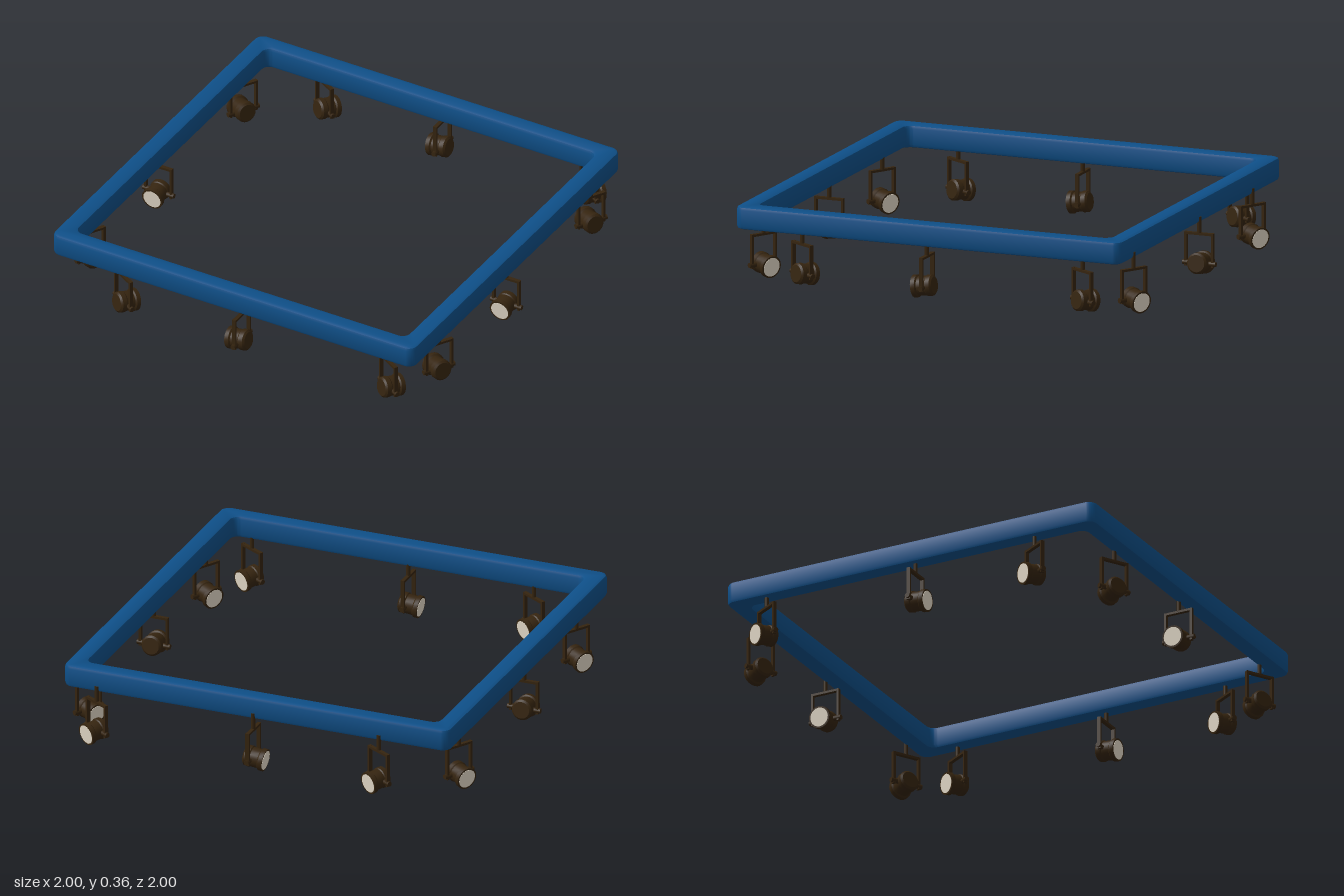
import * as THREE from 'three';
import { toCreasedNormals } from 'three/addons/utils/BufferGeometryUtils.js';

const mat = (name, color) => {
  const m = new THREE.MeshStandardMaterial({ color });
  m.name = name;
  return m;
};

// Traces a centred square with rounded corners onto a shape or path
function roundedSquare(path, half, r) {
  const h = half, k = half - r;
  path.moveTo(-k, -h);
  path.lineTo(k, -h);
  path.absarc(k, -k, r, -Math.PI / 2, 0);
  path.lineTo(h, k);
  path.absarc(k, k, r, 0, Math.PI / 2);
  path.lineTo(-k, h);
  path.absarc(-k, k, r, Math.PI / 2, Math.PI);
  path.lineTo(-h, -k);
  path.absarc(-k, -k, r, Math.PI, Math.PI * 1.5);
  return path;
}

export function createModel() {
  const model = new THREE.Group();
  model.name = 'squareLightingRig';
  const blue = mat('blue frame', 0x0e4f88);
  const brown = mat('dark brown metal', 0x35240f);
  const cream = mat('cream lens', 0xe6dccb);

  const add = (parent, name, geometry, material, x = 0, y = 0, z = 0) => {
    const mesh = new THREE.Mesh(geometry, material);
    mesh.name = name;
    mesh.position.set(x, y, z);
    parent.add(mesh);
    return mesh;
  };

  // Square frame with softened edges
  const bevel = 0.016;
  const outline = roundedSquare(new THREE.Shape(), 0.957 - bevel, 0.03);
  outline.holes.push(roundedSquare(new THREE.Path(), 0.87 + bevel, 0.05));
  const frameGeo = new THREE.ExtrudeGeometry(outline, {
    depth: 0.107 - 2 * bevel, bevelSize: bevel, bevelThickness: bevel,
    bevelSegments: 2, curveSegments: 4,
  });
  frameGeo.rotateX(-Math.PI / 2);
  add(model, 'frame', toCreasedNormals(frameGeo, 0.5), blue, 0.008, 0.251 + bevel, 0.037);

  // Shared lamp geometries; the lamp points along +z
  const profile = [
    [0, -0.038], [0.04, -0.038], [0.049, -0.03], [0.05, -0.008], [0.046, -0.003],
    [0.046, 0.036], [0.053, 0.042], [0.053, 0.062], [0, 0.062],
  ].map(([r, y]) => new THREE.Vector2(r, y));
  const bodyGeo = toCreasedNormals(new THREE.LatheGeometry(profile, 20).rotateX(Math.PI / 2), 0.6);
  const lensGeo = new THREE.CylinderGeometry(0.045, 0.045, 0.003, 20).rotateX(Math.PI / 2);
  const stemGeo = new THREE.CylinderGeometry(0.01, 0.01, 0.078, 10);
  const barGeo = new THREE.BoxGeometry(0.144, 0.011, 0.018);
  const armGeo = new THREE.BoxGeometry(0.011, 0.16, 0.018);
  const pinGeo = new THREE.CylinderGeometry(0.012, 0.012, 0.04, 10).rotateZ(Math.PI / 2);

  // Hanging spotlight: stem, yoke, pivots and tilted lamp head
  function spotlight(x, z, dirX, dirZ) {
    const lamp = new THREE.Group();
    lamp.name = 'spotlight';
    lamp.position.set(x, 0, z);
    lamp.rotation.y = Math.atan2(dirX, dirZ);
    add(lamp, 'stem', stemGeo, brown, 0, 0.241, 0);
    add(lamp, 'yokeBar', barGeo, brown, 0, 0.2, 0);
    for (const side of [-1, 1]) {
      add(lamp, 'yokeArm', armGeo, brown, side * 0.0665, 0.126, 0);
      add(lamp, 'pivotPin', pinGeo, brown, side * 0.062, 0.062, 0);
    }
    const head = new THREE.Group();
    head.name = 'lampHead';
    head.position.y = 0.062;
    head.rotation.x = 0.13;
    add(head, 'lampBody', bodyGeo, brown);
    add(head, 'lens', lensGeo, cream, 0, 0, 0.062);
    lamp.add(head);
    model.add(lamp);
  }

  // Three spotlights along each side; the x sides repeat the z sides a quarter turn on
  const alongX = [-0.604, 0.019, 0.794], alongZ = [0.674, 0.056, -0.717];
  for (const edge of [-0.917, 0.919]) {
    for (let i = 0; i < 3; i++) {
      const [dx, dz] = i === 1 ? [-1, 0] : [0.5, -0.866];
      spotlight(alongX[i], edge, dx, dz);
      spotlight(edge, alongZ[i], dz, -dx);
    }
  }
  return model;
}
